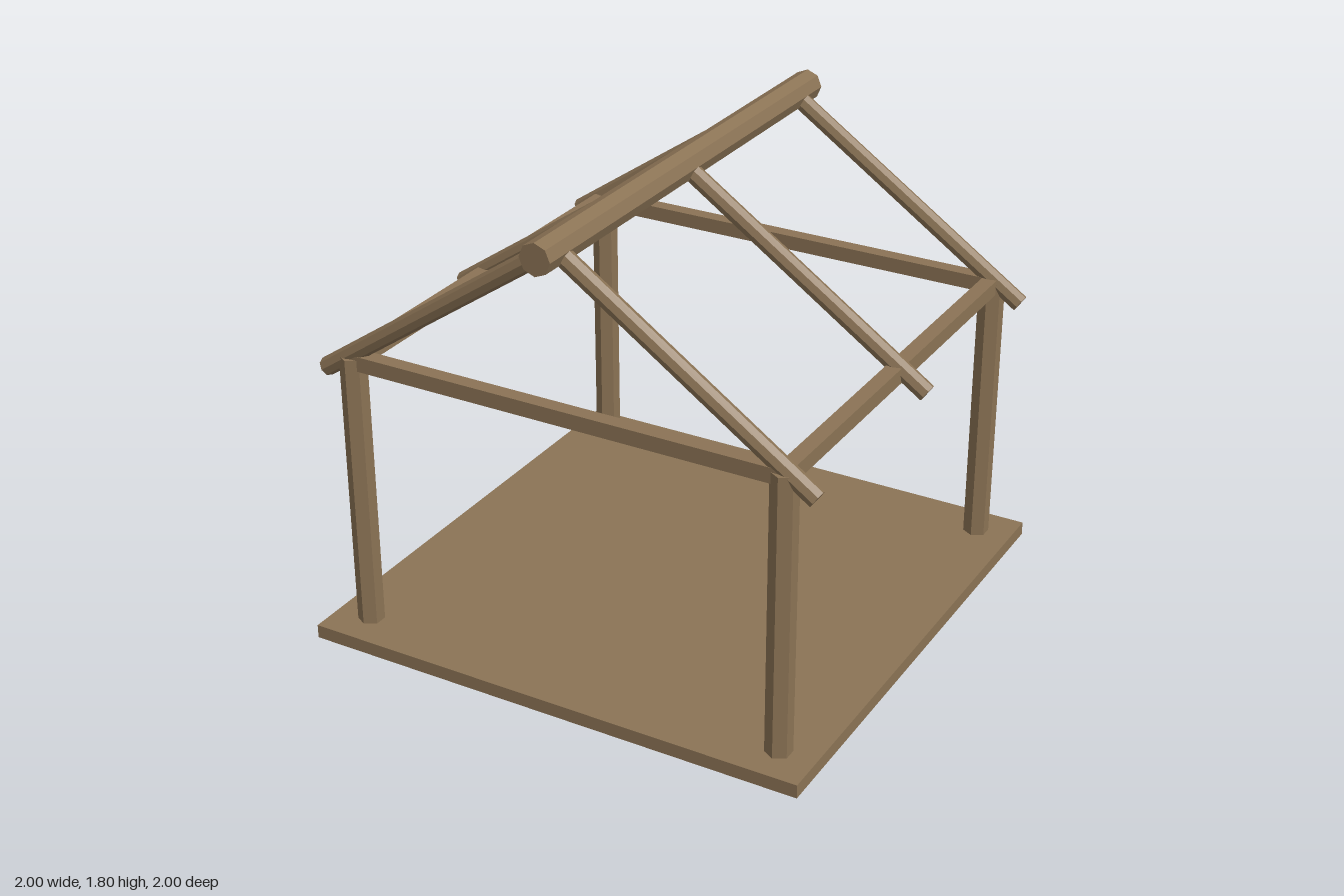
import * as THREE from 'three';

export function createModel() {
  const model = new THREE.Group();
  model.name = 'timberFrameShelter';
  const wood = new THREE.MeshStandardMaterial({ color: 0x8b7355, flatShading: true });
  wood.name = 'wood';

  const add = (name, geometry, x, y, z) => {
    const mesh = new THREE.Mesh(geometry, wood);
    mesh.name = name;
    mesh.position.set(x, y, z);
    model.add(mesh);
    return mesh;
  };

  const CORNER = 0.857; // post axis distance from the centre
  const FLOOR = 0.053;
  const POST_TOP = 1.143;
  const BEAM_Y = 1.13;
  const RIDGE_Y = 1.74;

  // Floor slab
  add('floor', new THREE.BoxGeometry(2, FLOOR, 2), 0, FLOOR / 2, 0);

  // Six-sided corner posts
  const postGeometry = new THREE.CylinderGeometry(0.05, 0.05, POST_TOP - FLOOR, 6);
  for (const x of [-CORNER, CORNER]) {
    for (const z of [-CORNER, CORNER]) add('post', postGeometry, x, (POST_TOP + FLOOR) / 2, z);
  }

  // Square tie beams joining the post tops
  for (const side of [-1, 1]) {
    add('crossBeam', new THREE.BoxGeometry(2 * CORNER, 0.058, 0.058), 0, BEAM_Y, side * CORNER);
    add('sideBeam', new THREE.BoxGeometry(0.058, 0.058, 2 * CORNER), side * CORNER, BEAM_Y, 0);
  }

  // Ridge pole
  add('ridgePole', new THREE.CylinderGeometry(0.06, 0.06, 1.95, 8).rotateX(Math.PI / 2), 0, RIDGE_Y, 0);

  // Three pairs of sloping rafters
  const run = 0.975, eaveY = 1.073, drop = RIDGE_Y - eaveY;
  const rafterGeometry = new THREE.CylinderGeometry(0.035, 0.035, Math.hypot(run, drop), 8);
  for (const z of [-CORNER, 0, CORNER]) {
    for (const side of [-1, 1]) {
      const rafter = add('rafter', rafterGeometry, side * run / 2, (RIDGE_Y + eaveY) / 2, z);
      rafter.rotation.z = side * Math.atan2(run, drop);
    }
  }

  return model;
}
